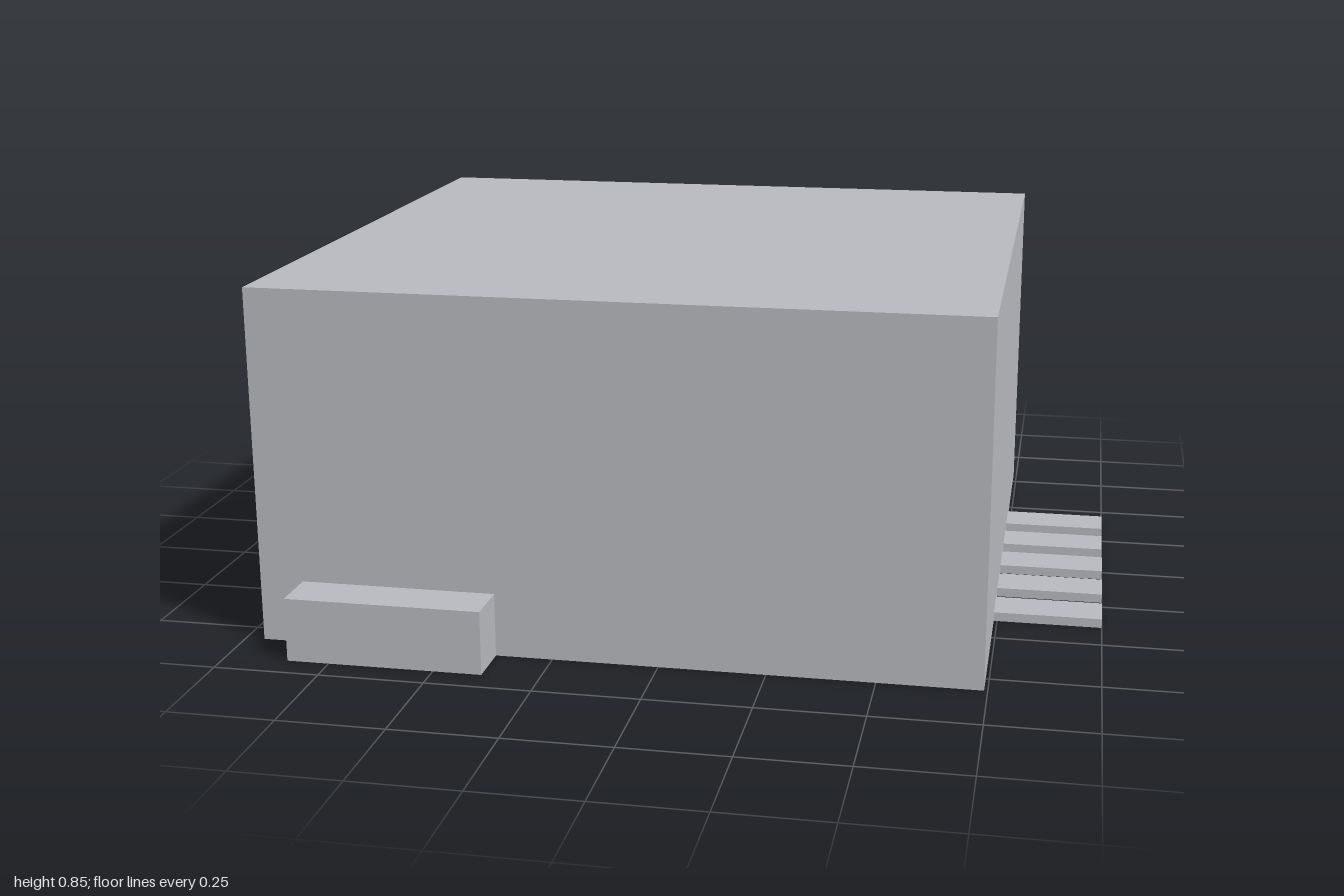
import * as THREE from 'three';

const housingGrey = new THREE.MeshStandardMaterial({ name: 'housing grey', color: 0xb7b8bd });
const tongueIvory = new THREE.MeshStandardMaterial({ name: 'tongue ivory', color: 0xd2d1c7 });

// Box given by its lower and upper limits on each axis
function addBox(group, name, material, [x0, x1], [y0, y1], [z0, z1]) {
  const mesh = new THREE.Mesh(new THREE.BoxGeometry(x1 - x0, y1 - y0, z1 - z0), material);
  mesh.position.set((x0 + x1) / 2, (y0 + y1) / 2, (z0 + z1) / 2);
  mesh.name = name;
  group.add(mesh);
}

function rectangle(path, halfWidth, bottom, top) {
  path.moveTo(-halfWidth, bottom);
  path.lineTo(halfWidth, bottom);
  path.lineTo(halfWidth, top);
  path.lineTo(-halfWidth, top);
  path.closePath();
  return path;
}

export function createModel() {
  const model = new THREE.Group();
  model.name = 'connector';
  const left = -0.955, right = 0.742, cavityEnd = 0.5;
  const halfDepth = 0.817, height = 0.852;

  // Housing sleeve, open towards -x
  const section = rectangle(new THREE.Shape(), halfDepth, 0, height);
  section.holes.push(rectangle(new THREE.Path(), 0.655, 0.235, 0.7));
  const sleeve = new THREE.ExtrudeGeometry(section, { depth: cavityEnd - left, bevelEnabled: false });
  sleeve.rotateY(Math.PI / 2);
  sleeve.translate(left, 0, 0);
  const housing = new THREE.Mesh(sleeve, housingGrey);
  housing.name = 'housing';
  model.add(housing);

  // Closed end of the cavity
  addBox(model, 'housingBack', housingGrey, [cavityEnd, right], [0, height], [-halfDepth, halfDepth]);

  // Tongue reaching out through the opening
  addBox(model, 'tongue', tongueIvory, [-1, cavityEnd], [0.313, 0.396], [-0.384, 0.38]);

  // Mounting tabs on both sides
  addBox(model, 'frontTab', housingGrey, [-0.85, -0.385], [0, 0.152], [halfDepth, 0.933]);
  addBox(model, 'backTab', housingGrey, [-0.85, -0.385], [0, 0.152], [-0.933, -halfDepth]);

  // Row of flat pins
  for (let i = -2; i <= 2; i++) {
    const z = i * 0.17 - 0.004;
    addBox(model, `pin${i + 3}`, housingGrey, [right, 1], [0, 0.022], [z - 0.054, z + 0.054]);
  }
  return model;
}
